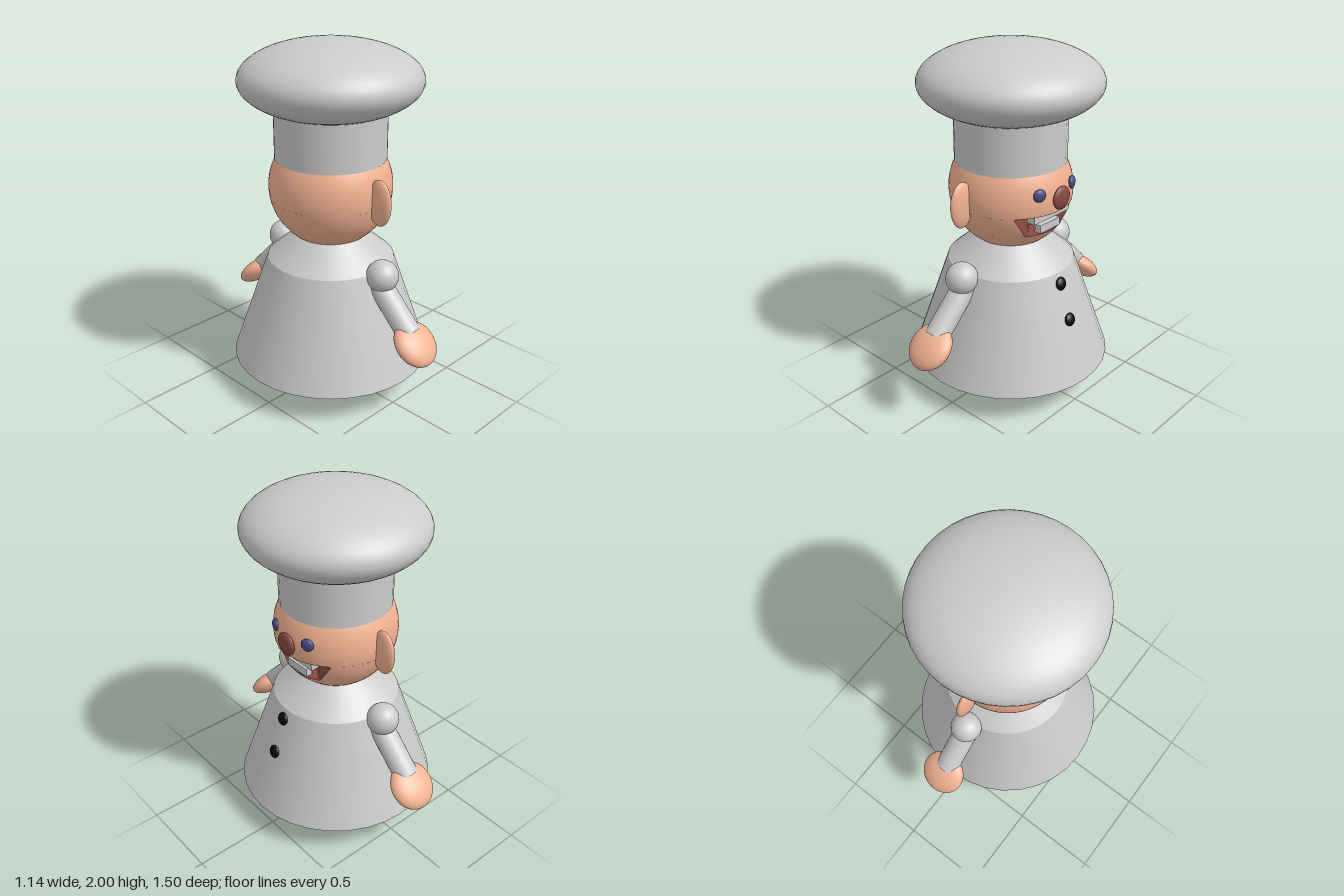
import * as THREE from 'three';
import { ParametricGeometry } from 'three/addons/geometries/ParametricGeometry.js';

const mat = (color) => new THREE.MeshStandardMaterial({ color, side: THREE.DoubleSide });
const grey = mat(0xcccccc), skin = mat(0xf2b292), red = mat(0x8a4a42);
const blue = mat(0x474b80), black = mat(0x0a0a0a);

const HEAD_Y = 1.2, HEAD_R = 0.345;
const MOUTH_LOW = 1.01, MOUTH_TOP = 1.14;

export function createModel() {
  const group = new THREE.Group();

  function add(name, geometry, material, x = 0, y = 0, z = 0) {
    const mesh = new THREE.Mesh(geometry, material);
    mesh.name = name;
    mesh.position.set(x, y, z);
    group.add(mesh);
    return mesh;
  }
  function ellipsoid(name, material, pos, radii) {
    const mesh = add(name, new THREE.SphereGeometry(1, 32, 20), material, ...pos);
    mesh.scale.set(...radii);
    return mesh;
  }
  // Each section of the profile is its own lathe, so corners stay sharp
  function lathe(name, points, material) {
    for (let i = 0; i < points.length - 1; i++) {
      const pair = [points[i], points[i + 1]].map(([r, y]) => new THREE.Vector2(r, y));
      add(name, new THREE.LatheGeometry(pair, 32), material);
    }
  }

  // Coat with a flat underside
  lathe('coat', [[0, 0.175], [0.57, 0.175], [0.36, 0.78], [0.2, 0.92], [0, 0.92]], grey);

  // Coat buttons, lying on the sloped front
  for (const [x, y] of [[0.38, 0.72], [0.45, 0.52]]) {
    ellipsoid('button', black, [x, y, 0.01], [0.02, 0.037, 0.037]).rotation.z = 0.33;
  }

  // Head: a band of the sphere, running from half angle a(y) around to the other side
  const ringRadius = (y) => Math.sqrt(HEAD_R ** 2 - (y - HEAD_Y) ** 2);
  const mouthAngle = (y) =>
    THREE.MathUtils.mapLinear(y, MOUTH_LOW, MOUTH_TOP, 0.57, 0.79);
  function headBand(y0, y1, angle, rows) {
    return new ParametricGeometry((u, v, p) => {
      const y = y0 + (y1 - y0) * v, a = angle(y);
      const t = a + (2 * Math.PI - 2 * a) * u, r = ringRadius(y);
      p.set(r * Math.cos(t), y, -r * Math.sin(t));
    }, 48, rows);
  }
  add('lowerHead', headBand(0.91, MOUTH_LOW, () => 0, 6), skin);
  add('cheeks', headBand(MOUTH_LOW, MOUTH_TOP, mouthAngle, 8), skin);
  add('upperHead', headBand(MOUTH_TOP, 1.37, () => 0, 10), skin);

  // Mouth hollow, sunk into the opening between the cheeks
  add('mouth', new ParametricGeometry((u, v, p) => {
    const y = MOUTH_LOW + (MOUTH_TOP - MOUTH_LOW) * v;
    const t = mouthAngle(y) * (2 * u - 1);
    const sink = Math.min(1, 10 * Math.min(v, 1 - v), 4 * Math.min(u, 1 - u));
    const r = ringRadius(y) * (1 - 0.38 * sink);
    p.set(r * Math.cos(t), y, -r * Math.sin(t));
  }, 24, 20), red);
  add('upperTeeth', new THREE.BoxGeometry(0.05, 0.048, 0.285), grey, 0.27, 1.115, -0.002);
  add('lowerTeeth', new THREE.BoxGeometry(0.04, 0.046, 0.16), grey, 0.262, 1.038, -0.005);

  // Face
  ellipsoid('nose', red, [0.352, 1.22, -0.01], [0.022, 0.065, 0.065]);
  for (const z of [0.125, -0.14]) {
    ellipsoid('eye', blue, [0.314, 1.26, z], [0.02, 0.036, 0.036]).rotation.y = -Math.atan2(z, 0.314);
  }

  // Hat: straight band and puffed crown with a flat underside
  add('hatBand', new THREE.CylinderGeometry(0.31, 0.31, 0.28, 32), grey, 0, 1.5, 0);
  const crown = [new THREE.Vector2(0, 1.63)];
  for (let i = 0; i <= 20; i++) {
    const a = THREE.MathUtils.lerp(-0.866, Math.PI / 2, i / 20);
    crown.push(new THREE.Vector2(Math.max(0, 0.5 * Math.cos(a)), 1.79 + 0.21 * Math.sin(a)));
  }
  add('hatCrown', new THREE.LatheGeometry(crown, 40), grey);

  // Paired parts
  for (const s of [1, -1]) {
    ellipsoid('ear', skin, [-0.01, 1.19, s * 0.37], [0.03, 0.13, 0.08]);
    ellipsoid('shoulder', grey, [0, 0.77, s * 0.395], [0.09, 0.09, 0.09]);

    const arm = add('arm', new THREE.CylinderGeometry(0.065, 0.065, 0.37, 24), grey, 0, 0.62, s * 0.47);
    arm.rotation.x = -s * Math.PI / 4;
    arm.scale.x = 1.08;

    const hand = ellipsoid('hand', skin, [0, 0.45, s * 0.642], [0.132, 0.135, 0.06]);
    hand.rotation.x = -s * 0.82;

    const leg = add('leg', new THREE.CylinderGeometry(0.056, 0.056, 0.18, 24), grey, 0, 0.09, s * 0.16);
    leg.scale.x = 1.28;
  }
  return group;
}
